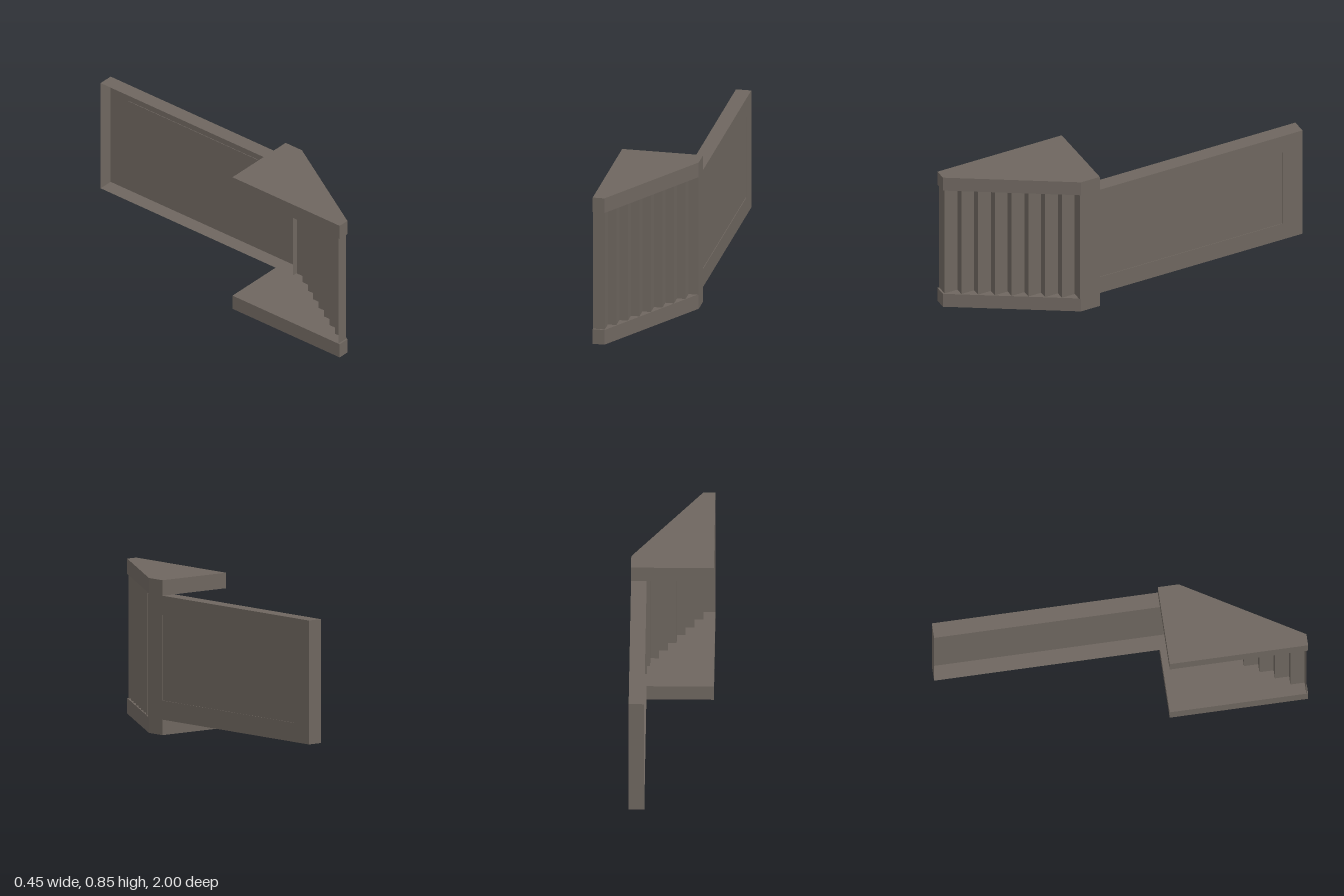
import * as THREE from 'three';

const weathered = new THREE.MeshStandardMaterial({ color: 0x6e665f, side: THREE.DoubleSide });
weathered.name = 'weathered brown';

const LOW = 0.085, HIGH = 0.765, PLATE = 0.085;

// Closed or open strip of flat quads joining two matching point loops
function strip(name, a, b, closed = false) {
  const pos = [];
  const n = closed ? a.length : a.length - 1;
  for (let i = 0; i < n; i++) {
    const j = (i + 1) % a.length;
    pos.push(...a[i], ...a[j], ...b[j], ...a[i], ...b[j], ...b[i]);
  }
  const geo = new THREE.BufferGeometry();
  geo.setAttribute('position', new THREE.Float32BufferAttribute(pos, 3));
  geo.computeVertexNormals();
  const mesh = new THREE.Mesh(geo, weathered);
  mesh.name = name;
  return mesh;
}

// Rectangle of corners in the plane at x, counter-clockwise seen from +x
const rect = (x, y0, y1, z0, z1) => [[x, y0, z1], [x, y0, z0], [x, y1, z0], [x, y1, z1]];

// Solid wedge-shaped plate
function makePlate(name, y) {
  const outline = [[-0.225, 0.24], [0.225, 0.24], [0.225, 0.355], [-0.16, 1], [-0.225, 1]];
  const shape = new THREE.Shape(outline.map(([x, z]) => new THREE.Vector2(x, -z)));
  const geo = new THREE.ExtrudeGeometry(shape, { depth: PLATE, bevelEnabled: false });
  geo.rotateX(-Math.PI / 2);
  const mesh = new THREE.Mesh(geo, weathered);
  mesh.name = name;
  mesh.position.y = y;
  return mesh;
}

export function createModel() {
  const model = new THREE.Group();
  model.name = 'steppedWallPanel';

  model.add(makePlate('bottomPlate', 0), makePlate('topPlate', HIGH));

  // Thin folded screen stepping back along the diagonal
  const path = [[-0.225, 0.99]];
  for (let i = 0; i <= 7; i++) {
    const x = -0.16 + i * 0.0472;
    path.push([x, 0.99 - i * 0.0781], [x, 0.99 - (i + 1) * 0.0781]);
  }
  path.push([0.225, 0.365]);
  model.add(strip('steppedScreen',
    path.map(([x, z]) => [x, LOW, z]),
    path.map(([x, z]) => [x, HIGH, z])));

  // Long shallow tray, open on its inner side
  const wall = new THREE.Group();
  wall.name = 'longWall';
  const open = rect(0.14, LOW, HIGH, -1, 0.362);
  const outer = rect(0.225, LOW, HIGH, -1, 0.362);
  const inset = rect(0.225, 0.19, 0.66, -0.877, 0.24);
  const recess = rect(0.222, 0.19, 0.66, -0.877, 0.24);
  wall.add(
    strip('wallEdges', open, outer, true),
    strip('wallFrame', outer, inset, true),
    strip('recessRim', inset, recess, true),
    strip('recessedPanel', [recess[0], recess[1]], [recess[3], recess[2]]));
  model.add(wall);

  return model;
}
